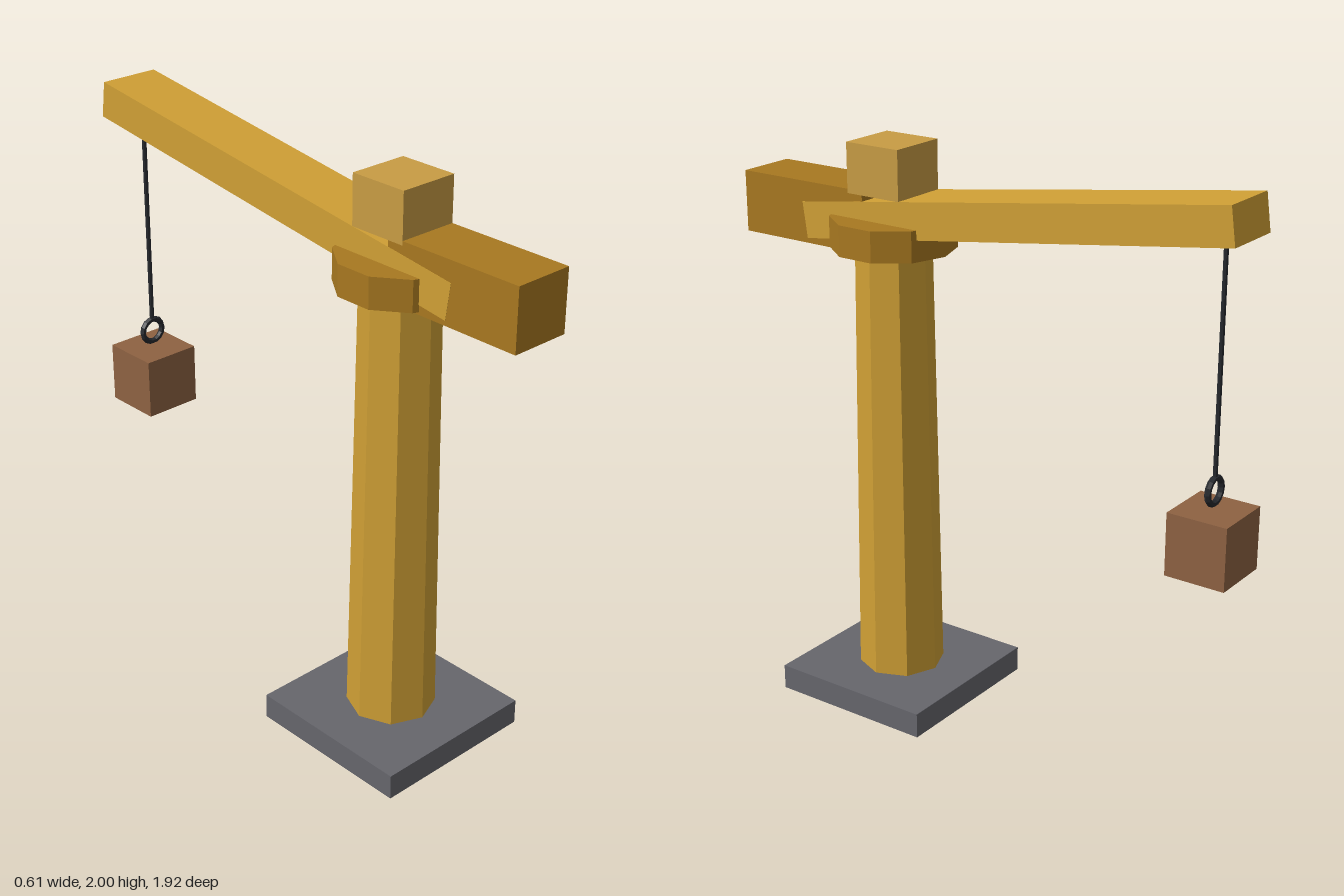
import * as THREE from 'three';

const material = (color) => new THREE.MeshStandardMaterial({ color, flatShading: true });
const yellow = material(0xd0a035);
const ochre = material(0xa87820);
const paleYellow = material(0xc89c44);
const slate = material(0x66666c);
const brown = material(0x8e6242);
const steel = material(0x25282d);

const TOWER_Z = 0.402; // axis of the tower
const HOOK_Z = -0.853; // line of the hanging load

export function createModel() {
  const crane = new THREE.Group();
  crane.name = 'crane';

  const add = (name, geometry, mat, y, z) => {
    const mesh = new THREE.Mesh(geometry, mat);
    mesh.name = name;
    mesh.position.set(0, y, z);
    crane.add(mesh);
    return mesh;
  };

  // Foot and tapered octagonal tower
  add('base', new THREE.BoxGeometry(0.608, 0.09, 0.608), slate, 0.045, TOWER_Z);
  add('tower', new THREE.CylinderGeometry(0.131, 0.152, 1.56, 8), yellow, 0.87, TOWER_Z);

  // Ten-sided slewing collar and the block above it
  add('collar', new THREE.CylinderGeometry(0.215, 0.215, 0.107, 10), ochre, 1.693, TOWER_Z);
  add('topBlock', new THREE.BoxGeometry(0.213, 0.171, 0.213), paleYellow, 1.9145, TOWER_Z);

  // Counterweight in front, boom rising to the back
  add('counterweight', new THREE.BoxGeometry(0.213, 0.213, 0.516), ochre, 1.737, 0.706);
  const boom = add('boom', new THREE.BoxGeometry(0.215, 0.126, 1.645), yellow, 1.824, -0.116);
  boom.rotation.x = THREE.MathUtils.degToRad(8);

  // Cable, ring and hanging crate
  add('cable', new THREE.CylinderGeometry(0.008, 0.008, 0.77, 8), steel, 1.495, HOOK_Z);
  add('hookRing', new THREE.TorusGeometry(0.043, 0.011, 6, 14), steel, 1.063, HOOK_Z);
  add('crate', new THREE.BoxGeometry(0.213, 0.216, 0.213), brown, 0.892, HOOK_Z);

  return crane;
}
